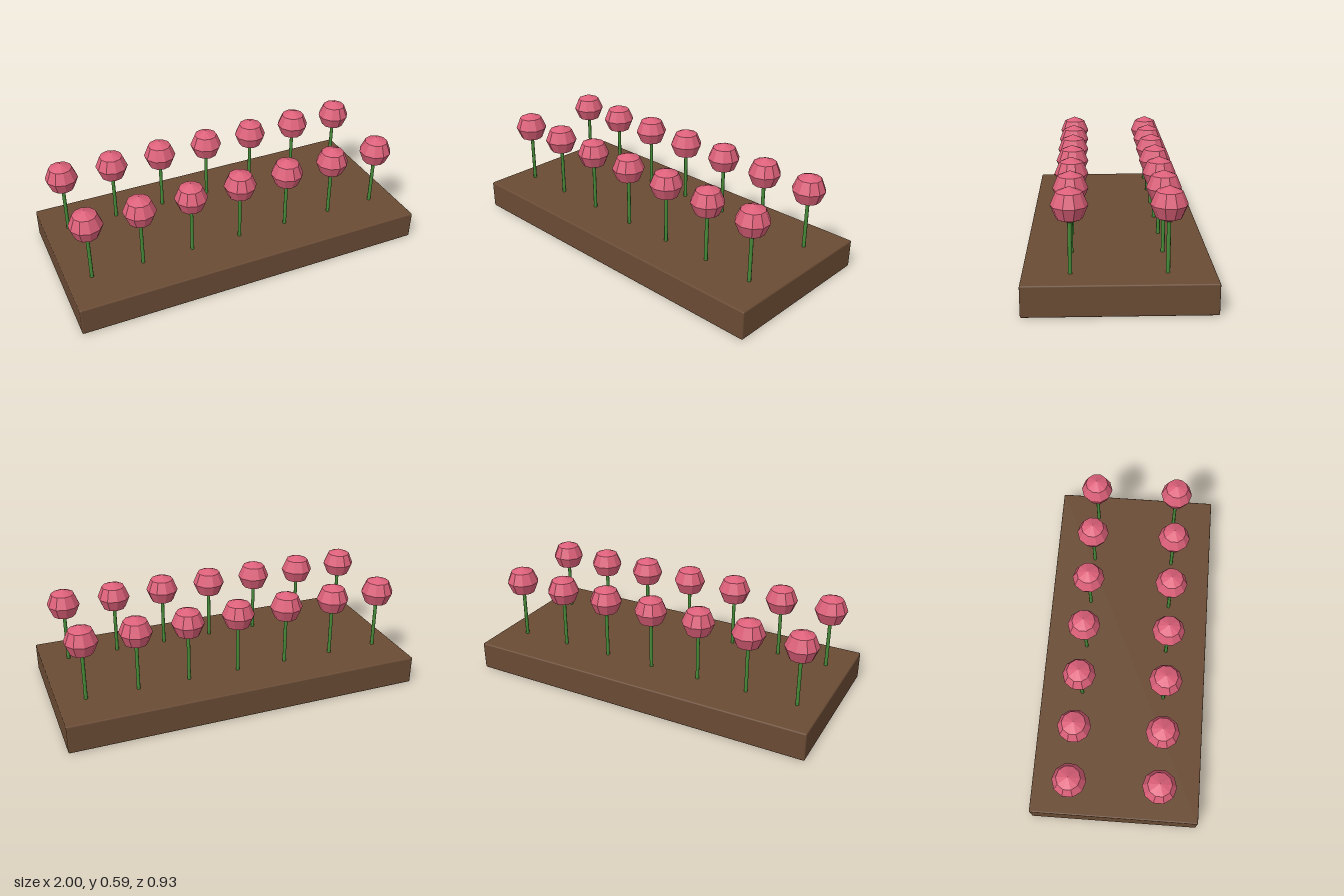
import * as THREE from 'three';
import { RoundedBoxGeometry } from 'three/addons/geometries/RoundedBoxGeometry.js';

export function createModel() {
  const group = new THREE.Group();
  const mat = (name, color, flatShading = false) => {
    const m = new THREE.MeshStandardMaterial({ color, flatShading });
    m.name = name;
    return m;
  };
  const soil = mat('soil brown', 0x694b34);
  const green = mat('stem green', 0x468a38);
  const pink = mat('blossom pink', 0xdc6079, true);

  const add = (parent, name, geometry, material, x, y, z) => {
    const mesh = new THREE.Mesh(geometry, material);
    mesh.name = name;
    mesh.position.set(x, y, z);
    parent.add(mesh);
  };

  // Soil bed with slightly softened edges
  add(group, 'soilBed', new RoundedBoxGeometry(2, 0.16, 0.934, 2, 0.008), soil, 0, 0.08, 0);

  // Shared flower parts: a thin stem and a faceted round blossom
  const stemGeo = new THREE.CylinderGeometry(0.01, 0.01, 0.3, 8);
  const blossomGeo = new THREE.SphereGeometry(0.09, 10, 4).rotateY(Math.PI / 2);

  // Two rows of seven flowers
  for (const z of [-0.234, 0.234]) {
    for (let i = 0; i < 7; i++) {
      const flower = new THREE.Group();
      flower.name = 'flower';
      flower.position.set(-0.867 + i * 0.286, 0, z);
      add(flower, 'stem', stemGeo, green, 0, 0.29, 0);
      add(flower, 'blossom', blossomGeo, pink, 0, 0.502, 0);
      group.add(flower);
    }
  }
  return group;
}
